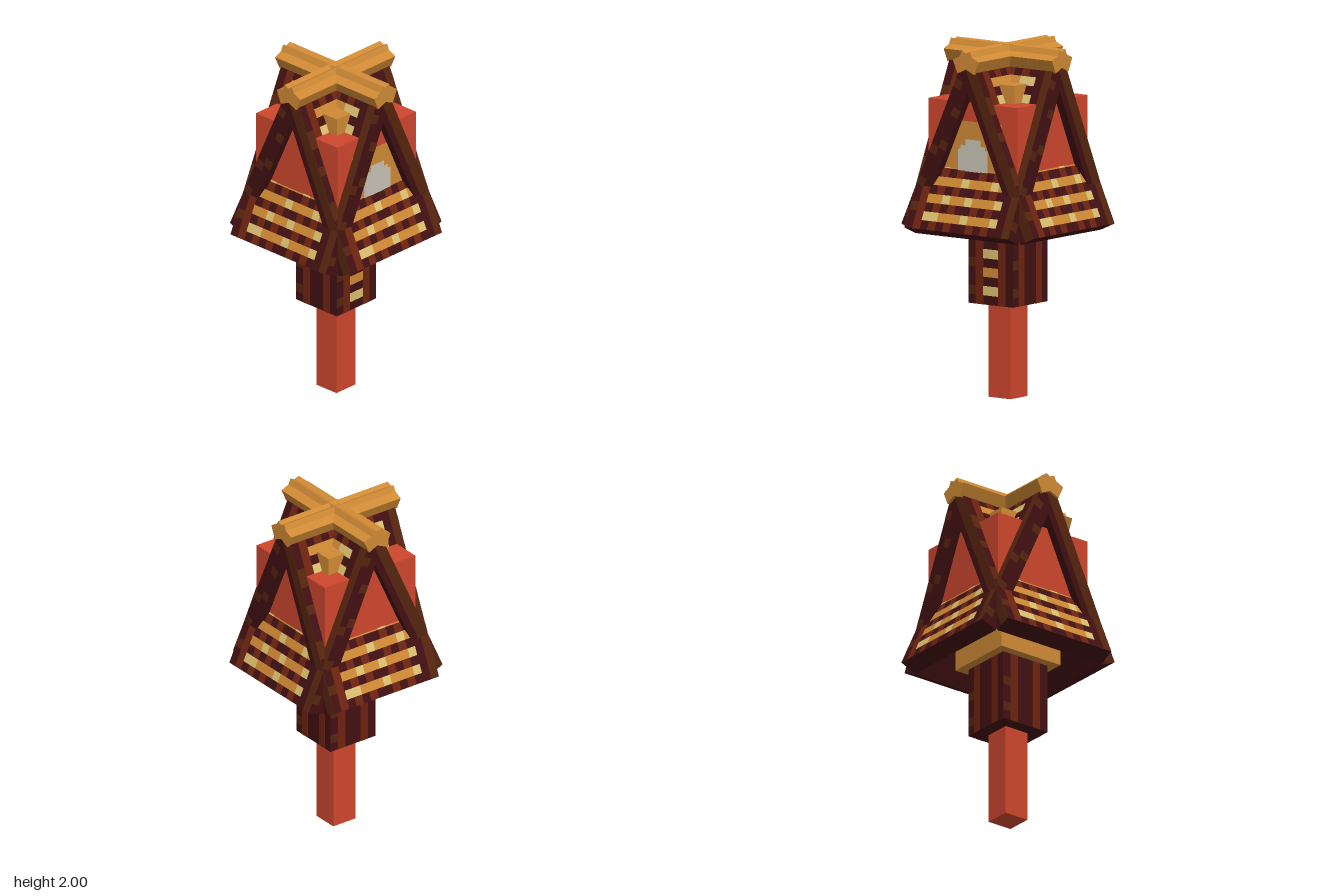
import * as THREE from 'three';

const mat = (name, color) => {
  const m = new THREE.MeshStandardMaterial({ color });
  m.name = name;
  return m;
};

export function createModel() {
  const red = mat('red', 0xce472e);
  const gold = mat('gold', 0xd08a35);
  const pale = mat('paleGold', 0xdcc070);
  const maroon = mat('maroon', 0x421012);
  const rust = mat('rust', 0x6e2310);
  const wood = mat('woodBrown', 0x56240f);
  const grey = mat('lightGrey', 0xc8c4b6);

  const model = new THREE.Group();
  model.name = 'hammer';

  const box = (parent, name, material, w, h, d, x, y, z) => {
    const m = new THREE.Mesh(new THREE.BoxGeometry(w, h, d), material);
    m.name = name;
    m.position.set(x, y, z);
    parent.add(m);
    return m;
  };
  const group = (parent, name) => {
    const g = new THREE.Group();
    g.name = name;
    parent.add(g);
    return g;
  };

  const U = 0.0525;      // size of one painted square
  const TILT = 0.424;    // lean of the roof slabs

  // Handle and the solid core of the head
  box(model, 'handle', red, 0.155, 0.6, 0.155, 0, 0.3, 0);
  box(model, 'core', gold, 0.42, 0.857, 0.42, 0, 1.3735, 0);
  box(model, 'innerBlock', red, 0.634, 0.5, 0.634, 0, 1.45, 0);

  // Collar with rust stripes on its four sides and a ladder on the front
  box(model, 'collar', maroon, 6 * U, 0.42, 6 * U, 0, 0.745, 0);
  for (let k = 0; k < 4; k++) {
    const side = group(model, 'collarSide');
    side.rotation.y = k * Math.PI / 2;
    for (const s of [-1, 1])
      box(side, 'collarStripe', rust, U, 0.42, 0.003, s * 1.5 * U, 0.745, 3 * U);
    for (const row of [1, 4])
      box(side, 'collarPatch', wood, U, U, 0.003, -2.5 * U, 0.535 + (row + 0.5) * U, 3 * U);
  }
  [1, 3, 5, 7].forEach((row, i) =>
    box(model, 'ladderRung', i % 2 ? gold : pale, 2 * U, U, 0.006, 0, 0.535 + (row + 0.5) * U, 3 * U));

  // Badge on the front of the inner block
  box(model, 'badgePanel', gold, 0.4, 0.343, 0.004, 0, 1.4215, 0.317);
  for (const [w, top] of [[0.21, 1.433], [0.17, 1.456], [0.105, 1.49]])
    box(model, 'badgeEmblem', grey, w, top - 1.3, 0.008, 0, (top + 1.3) / 2, 0.317);

  // Four leaning roof slabs, each painted on its outer face and ends
  const W = 14 * U, L = 1.041, T = 0.105;
  const colX = c => (c - 6.5) * U;
  const rowY = r => -L / 2 + (r + 0.5) * U;
  const paleCells = { 1: [2, 3, 7, 11], 3: [4, 7, 11], 5: [6, 10], 7: [3, 8], 9: [5, 10],
    11: [4, 9], 13: [3, 7], 15: [2, 11], 17: [10, 11] };
  for (let k = 0; k < 4; k++) {
    const turn = group(model, 'roofSide');
    turn.rotation.y = k * Math.PI / 2;
    const slab = group(turn, 'roofSlab');
    slab.position.set(0, 1.432, 0.2077);
    slab.rotation.x = -TILT;
    box(slab, 'slabBody', maroon, W, L, T, 0, 0, 0);

    // Upright boards
    for (const c of [1, 3, 5, 8, 10])
      box(slab, 'rustBoard', rust, U, L, 0.002, colX(c), 0, T / 2);
    box(slab, 'edgeBoard', wood, U, L, 0.002, colX(13), 0, T / 2);
    for (const r of [2, 6, 7, 11, 14, 15])
      box(slab, 'edgePatch', wood, U, U, 0.002, colX(0), rowY(r), T / 2);

    // Gold bands with pale squares
    for (const r of Object.keys(paleCells)) {
      box(slab, 'goldBand', gold, 10 * U, U, 0.004, 0, rowY(+r), T / 2);
      for (const c of paleCells[r])
        box(slab, 'paleSquare', pale, U, U, 0.006, colX(c), rowY(+r), T / 2);
    }

    // Gable ends: brown outer half on one end, scattered patches on the other
    box(slab, 'gableBoard', wood, 0.003, L, T * 0.62, -W / 2, 0, T * 0.19);
    for (const r of [1, 5, 9, 10, 14, 17])
      box(slab, 'gablePatch', wood, 0.003, U, T / 2, W / 2, rowY(r), (r % 2 ? 1 : -1) * T / 4);
  }

  // Crossed ridge caps, each made of two overlapping tilted planks
  for (let k = 0; k < 2; k++) {
    const ridge = group(model, 'ridgeCap');
    ridge.rotation.y = k * Math.PI / 2;
    for (const s of [-1, 1])
      box(ridge, 'ridgePlank', gold, 0.132, 0.082, 0.77, s * 0.015, 1.9355, 0).rotation.z = -s * TILT;
  }

  return model;
}
